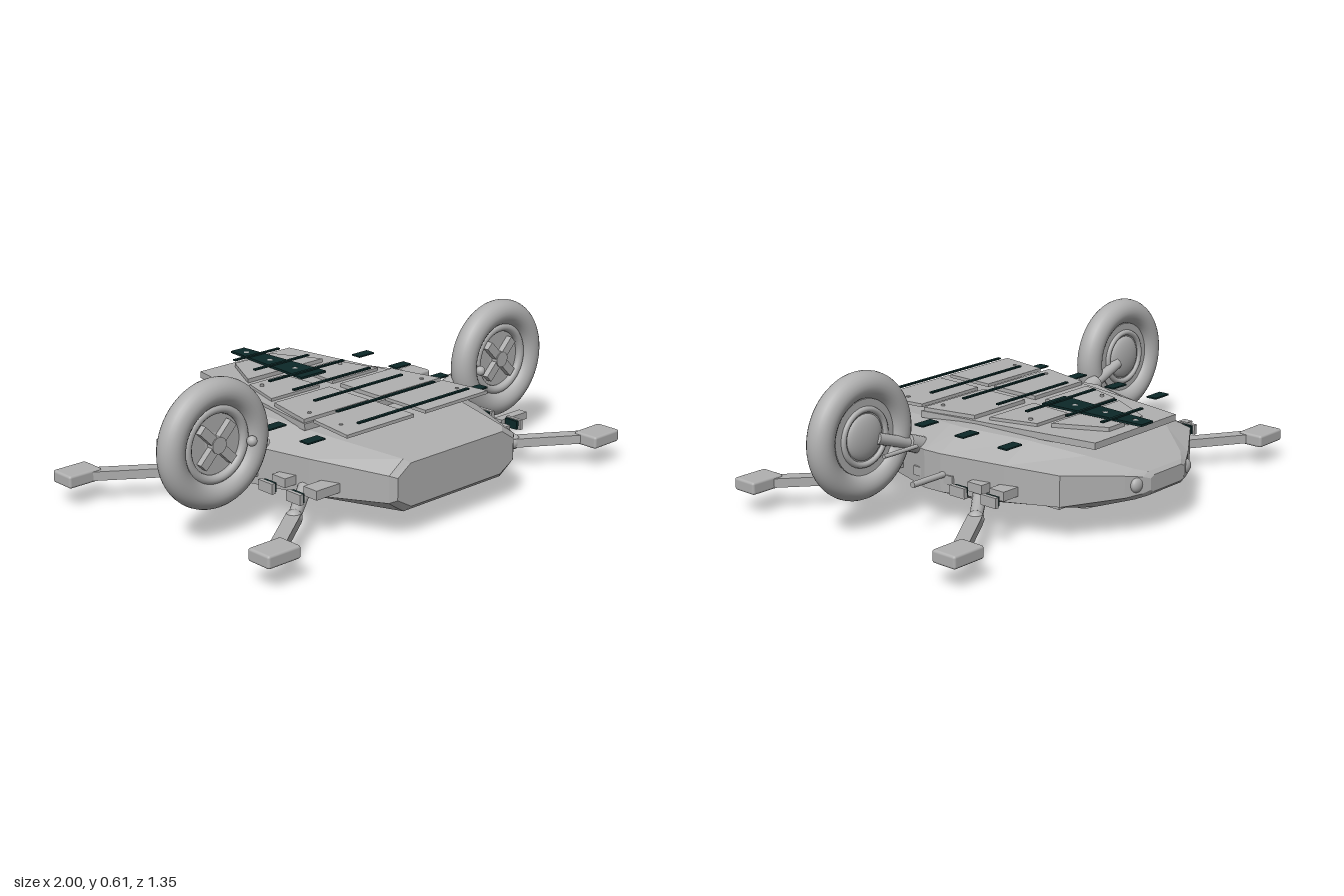
import * as THREE from 'three';
import { RoundedBoxGeometry } from 'three/addons/geometries/RoundedBoxGeometry.js';

const grey = new THREE.MeshStandardMaterial({ color: 0xb0b0b0 });
grey.name = 'hull grey';
const dark = new THREE.MeshStandardMaterial({ color: 0x0c2828 });
dark.name = 'dark teal';

const V = (x, y, z) => new THREE.Vector3(x, y, z);

function add(parent, name, geo, mat, x = 0, y = 0, z = 0) {
  const m = new THREE.Mesh(geo, mat);
  m.name = name;
  m.position.set(x, y, z);
  parent.add(m);
  return m;
}

const box = (p, name, mat, w, h, d, x, y, z) => add(p, name, new THREE.BoxGeometry(w, h, d), mat, x, y, z);

// Cylinder between two points
function rod(p, name, a, b, r, r2 = r) {
  const m = add(p, name, new THREE.CylinderGeometry(r2, r, a.distanceTo(b), 16), grey);
  m.position.copy(a).add(b).multiplyScalar(0.5);
  m.quaternion.setFromUnitVectors(V(0, 1, 0), b.clone().sub(a).normalize());
  return m;
}

// Flat plate with an outline of [x, z] points
function plate(p, name, mat, pts, y, h, holes = []) {
  const shape = new THREE.Shape(pts.map(([x, z]) => new THREE.Vector2(x, -z)));
  for (const [x, z, r] of holes) {
    shape.holes.push(new THREE.Path([[r, 0], [0, -r], [-r, 0], [0, r]].map(([a, b]) => new THREE.Vector2(x + a, -z + b))));
  }
  const g = new THREE.ExtrudeGeometry(shape, { depth: h, bevelEnabled: false });
  g.rotateX(-Math.PI / 2);
  return add(p, name, g, mat, 0, y, 0);
}

// Faceted body lofted through eight-sided sections
function hullGeometry() {
  // z, half width, top half width, bottom half width, bottom, lower side, upper side, top
  const sections = [
    [0.655, 0.31, 0.245, 0.24, 0.125, 0.165, 0.25, 0.293],
    [0.635, 0.335, 0.265, 0.26, 0.105, 0.155, 0.26, 0.308],
    [0.34, 0.45, 0.33, 0.3, 0.074, 0.135, 0.275, 0.328],
    [0.06, 0.527, 0.385, 0.31, 0.042, 0.13, 0.28, 0.348],
    [-0.02, 0.523, 0.39, 0.31, 0.04, 0.13, 0.28, 0.35],
    [-0.28, 0.46, 0.32, 0.26, 0.068, 0.135, 0.275, 0.338],
    [-0.49, 0.39, 0.24, 0.2, 0.095, 0.145, 0.265, 0.305],
    [-0.63, 0.19, 0.14, 0.13, 0.14, 0.16, 0.245, 0.262],
    [-0.665, 0.13, 0.1, 0.1, 0.155, 0.17, 0.235, 0.248],
    [-0.68, 0.1, 0.08, 0.08, 0.17, 0.18, 0.225, 0.235],
  ];
  const rings = sections.map(([z, w, tw, bw, b, lo, hi, t]) => [
    [w, lo, z], [w, hi, z], [tw, t, z], [-tw, t, z], [-w, hi, z], [-w, lo, z], [-bw, b, z], [bw, b, z]]);
  const pos = [];
  const tri = (...pts) => pts.forEach((q) => pos.push(...q));
  for (let i = 0; i < rings.length - 1; i++) {
    for (let j = 0; j < 8; j++) {
      const k = (j + 1) % 8, r = rings[i], s = rings[i + 1];
      tri(r[j], s[j], s[k]);
      tri(r[j], s[k], r[k]);
    }
  }
  const f = rings[0], e = rings[rings.length - 1];
  for (let j = 1; j < 7; j++) {
    tri(f[0], f[j], f[j + 1]);
    tri(e[0], e[j + 1], e[j]);
  }
  const g = new THREE.BufferGeometry();
  g.setAttribute('position', new THREE.Float32BufferAttribute(pos, 3));
  g.computeVertexNormals();
  return g;
}

function makeWheel() {
  const w = new THREE.Group();
  add(w, 'tyre', new THREE.TorusGeometry(0.193, 0.052, 24, 56), grey);
  add(w, 'rimRing', new THREE.TorusGeometry(0.132, 0.018, 12, 48), grey, 0, 0, 0.012);
  add(w, 'rimDisc', new THREE.CylinderGeometry(0.145, 0.145, 0.03, 40), grey, 0, 0, -0.01).rotation.x = Math.PI / 2;
  // Crossed spokes on the front
  for (const a of [1, -1]) {
    box(w, 'spoke', grey, 0.2, 0.036, 0.025, 0, 0, 0.018).rotation.z = a * Math.PI / 4;
  }
  add(w, 'hub', new THREE.CylinderGeometry(0.032, 0.032, 0.03, 20), grey, 0, 0, 0.02).rotation.x = Math.PI / 2;
  // Domed cover on the back
  add(w, 'coverRing', new THREE.TorusGeometry(0.105, 0.012, 10, 40), grey, 0, 0, -0.025);
  add(w, 'coverDome', new THREE.SphereGeometry(0.09, 28, 16), grey, 0, 0, -0.02).scale.z = 0.32;
  return w;
}

// Leg from hull mount through a ball joint to a box foot
function addLeg(p, s, mount, joint, foot) {
  const leg = new THREE.Group();
  leg.name = 'leg';
  const [a, b, c] = [mount, joint, foot].map(([x, y, z]) => V(s * x, y, z));
  rod(leg, 'upperStrut', a, b, 0.028, 0.024);
  add(leg, 'joint', new THREE.SphereGeometry(0.032, 20, 14), grey).position.copy(b);
  const strut = add(leg, 'lowerStrut', new THREE.BoxGeometry(0.055, 0.036, b.distanceTo(c)), grey);
  strut.position.copy(b).add(c).multiplyScalar(0.5);
  strut.lookAt(c);
  add(leg, 'foot', new RoundedBoxGeometry(0.15, 0.05, 0.11, 2, 0.01), grey, c.x, c.y, c.z);
  p.add(leg);
}

export function createModel() {
  const model = new THREE.Group();
  add(model, 'hull', hullGeometry(), grey);

  // Deck and raised panels
  plate(model, 'deck', grey, [[-0.24, -0.53], [0.24, -0.53], [0.37, 0.23], [-0.37, 0.23]], 0.336, 0.026);
  for (const s of [1, -1]) {
    const half = (name, pts, y, h) => plate(model, name, grey, (s > 0 ? pts : [...pts].reverse()).map(([x, z]) => [s * x, z]), y, h);
    half('frontPanel', [[0.03, 0.25], [0.345, 0.25], [0.375, 0.46], [0.03, 0.46]], 0.366, 0.013);
    half('middlePanel', [[0.03, 0], [0.315, 0], [0.365, 0.22], [0.03, 0.22]], 0.36, 0.017);
    half('rearPanel', [[0.05, -0.24], [0.23, -0.24], [0.285, -0.05], [0.035, -0.05]], 0.36, 0.014);
    half('tailPanel', [[0.01, -0.48], [0.1, -0.48], [0.2, -0.285], [0.01, -0.285]], 0.36, 0.018);
    for (const [x, z] of [[0.31, 0.36], [0.3, 0.18], [0.21, -0.19]]) {
      add(model, 'panelBolt', new THREE.CylinderGeometry(0.008, 0.008, 0.022, 10), grey, s * x, 0.371, z);
    }
  }

  // Dark cross strips and tapered spine
  for (const [z, w] of [[-0.46, 0.12], [-0.31, 0.145], [-0.16, 0.2], [-0.015, 0.205], [0.135, 0.235], [0.285, 0.26], [0.432, 0.295]]) {
    box(model, 'crossStrip', dark, w * 2, 0.006, 0.014, 0, 0.399, z);
  }
  const holes = [-0.525, -0.38, -0.23].map((z) => [0, z, 0.014]);
  plate(model, 'spine', dark, [[-0.035, -0.58], [0.035, -0.58], [0.065, -0.12], [-0.065, -0.12]], 0.385, 0.009, holes);
  for (const [x, z] of holes) {
    add(model, 'spineStud', new THREE.CylinderGeometry(0.014, 0.014, 0.008, 6), grey, x, 0.389, z);
  }

  for (const s of [1, -1]) {
    // Wheels and their axle arms
    const wheel = makeWheel();
    wheel.name = s > 0 ? 'leftWheel' : 'rightWheel';
    wheel.position.set(s * 0.753, 0.365, 0.165);
    model.add(wheel);
    rod(model, 'axleArm', V(s * 0.44, 0.26, 0.12), V(s * 0.7, 0.35, 0.13), 0.022);
    rod(model, 'axleSleeve', V(s * 0.45, 0.262, 0.12), V(s * 0.55, 0.3, 0.125), 0.034);
    add(model, 'axleKnob', new THREE.SphereGeometry(0.02, 14, 10), grey, s * 0.61, 0.35, 0.21);

    addLeg(model, s, [0.43, 0.16, 0.3], [0.59, 0.105, 0.41], [0.865, 0.113, 0.615]);
    addLeg(model, s, [0.44, 0.16, -0.15], [0.6, 0.105, -0.27], [0.9, 0.108, -0.47]);

    // Dark side tiles
    for (const z of [-0.29, -0.075, 0.135, 0.345]) {
      box(model, 'sideTile', dark, 0.085, 0.006, 0.045, s * 0.437, 0.346, z);
    }
    // Side brackets with dark end plates
    for (const z of [-0.33, -0.175, 0.265, 0.415]) {
      box(model, 'bracketEnd', dark, 0.012, 0.035, 0.06, s * 0.575, 0.185, z);
      box(model, 'bracketCap', grey, 0.016, 0.04, 0.075, s * 0.59, 0.185, z);
    }
    for (const z of [-0.3, -0.19, -0.04, 0.09, 0.25, 0.42]) {
      box(model, 'sideBracket', grey, 0.12, 0.036, 0.07, s * 0.46, 0.183, z);
    }
    // Rear lamps
    add(model, 'rearLamp', new THREE.SphereGeometry(0.03, 18, 12), grey, s * 0.145, 0.205, -0.65).scale.z = 0.6;
  }

  // Side rods and boxes that differ left to right
  rod(model, 'thinRod', V(0.56, 0.3, 0.065), V(0.73, 0.3, 0.065), 0.008);
  rod(model, 'sideRod', V(0.5, 0.2, -0.03), V(0.68, 0.2, -0.03), 0.012);
  box(model, 'sideBox', grey, 0.15, 0.03, 0.04, 0.63, 0.18, 0.36);
  box(model, 'sideBox', grey, 0.17, 0.036, 0.07, -0.6, 0.183, -0.05);
  box(model, 'sideBox', grey, 0.11, 0.03, 0.04, -0.59, 0.183, -0.29);

  // Belly block and pad
  box(model, 'bellyBlock', grey, 0.32, 0.04, 0.3, 0, 0.045, -0.14);
  add(model, 'bellyPad', new THREE.CylinderGeometry(0.042, 0.04, 0.026, 24), grey, 0, 0.013, -0.28);
  return model;
}
